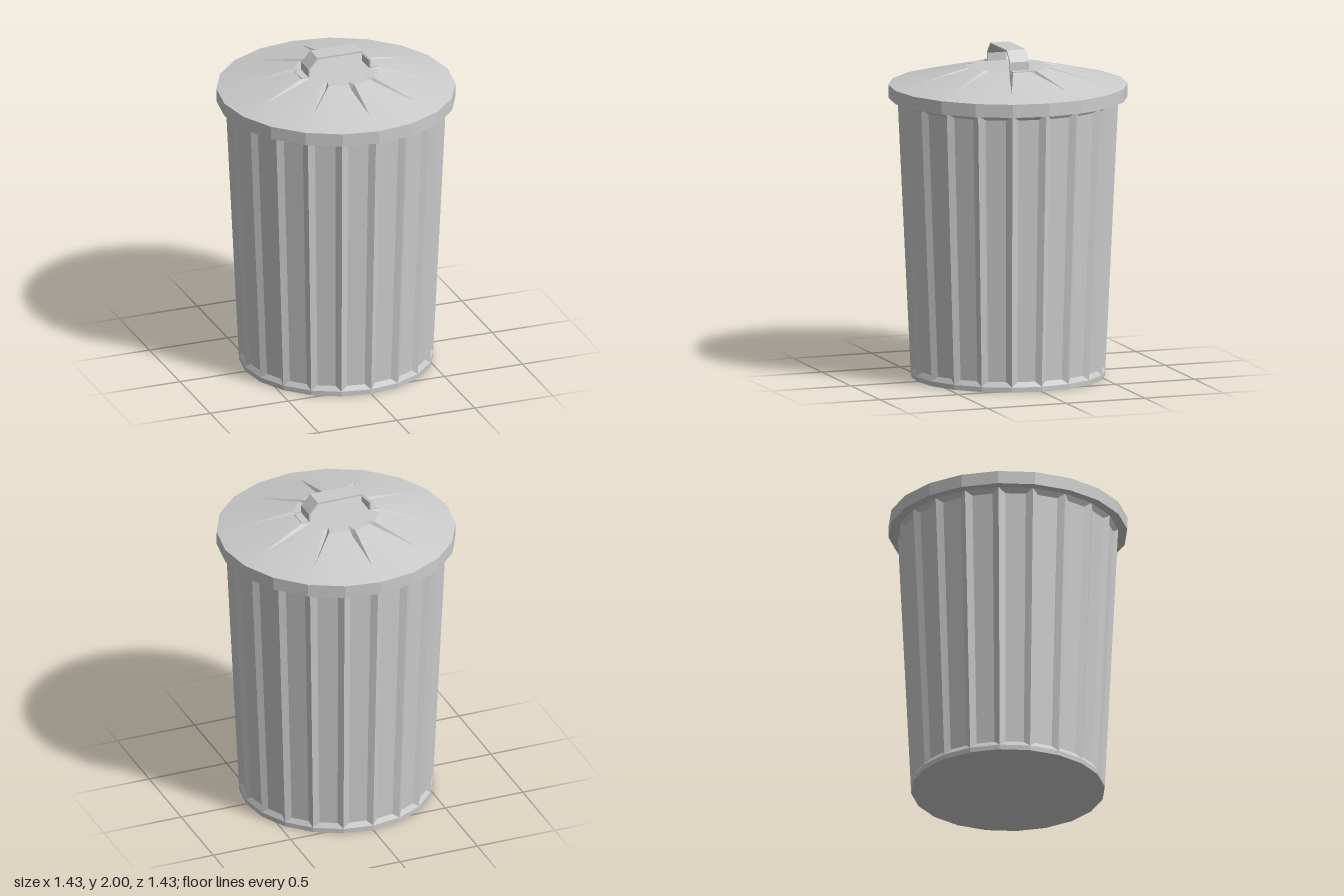
import * as THREE from 'three';
import { toCreasedNormals } from 'three/addons/utils/BufferGeometryUtils.js';

const SIDES = 20;
const STEP = (Math.PI * 2) / SIDES;
const material = new THREE.MeshStandardMaterial({ color: 0xcccccc, side: THREE.DoubleSide });

// Point on a circle of radius r at height y
const polar = (r, a, y) => new THREE.Vector3(r * Math.cos(a), y, r * Math.sin(a));

// Collects convex polygons as triangle fans
function surface() {
  const verts = [];
  return {
    add(...pts) {
      for (let i = 1; i < pts.length - 1; i++) {
        for (const p of [pts[0], pts[i], pts[i + 1]]) verts.push(p.x, p.y, p.z);
      }
    },
    mesh(name, crease) {
      let geo = new THREE.BufferGeometry();
      geo.setAttribute('position', new THREE.Float32BufferAttribute(verts, 3));
      geo = toCreasedNormals(geo, crease);
      const m = new THREE.Mesh(geo, material);
      m.name = name;
      return m;
    },
  };
}

// Tapered can: each side has a panel pressed inwards between sharp ridges
function makeBody() {
  const s = surface();
  const radius = (y) => 0.58 + 0.08 * (y / 1.69);
  const low = 0.03, high = 1.69, inLow = 0.06, inHigh = 1.66;
  const margin = 0.2, depth = 0.018;
  for (let i = 0; i < SIDES; i++) {
    const a0 = i * STEP, a1 = a0 + STEP, mid = a0 + STEP / 2;
    const ridge = (a, y) => polar(radius(y), a, y);
    const inset = (t, y) => ridge(a0, y).lerp(ridge(a1, y), t).sub(polar(depth, mid, 0));
    const outer = [ridge(a1, low), ridge(a0, low), ridge(a0, high), ridge(a1, high)];
    const inner = [inset(1 - margin, inLow), inset(margin, inLow), inset(margin, inHigh), inset(1 - margin, inHigh)];
    s.add(...inner);
    for (let k = 0; k < 4; k++) {
      const n = (k + 1) % 4;
      s.add(outer[k], outer[n], inner[n], inner[k]);
    }
    // bottom band and floor
    s.add(ridge(a1, 0), ridge(a0, 0), outer[1], outer[0]);
    s.add(new THREE.Vector3(), ridge(a0, 0), ridge(a1, 0));
  }
  return s.mesh('canBody', 0.2);
}

// Shallow conical lid with ten tapering grooves and a vertical rim
function makeLid() {
  const s = surface();
  const R = 0.715, topR = 0.25, rimLow = 1.69, rimHigh = 1.77, top = 1.88;
  const tipR = 0.56;
  const tipY = top - ((top - rimHigh) * (tipR - topR)) / (R - topR);
  const centre = new THREE.Vector3(0, top, 0);

  for (let i = 0; i < SIDES / 2; i++) {
    const a = (2 * i + 1) * STEP;
    const tip = polar(tipR, a, tipY);
    const notch = polar(0.2, a, top);
    const valley = polar(0.25, a, top - 0.03);
    const rimMid = polar(R, a, rimHigh);
    for (const side of [-1, 1]) {
      const put = (...p) => s.add(...(side < 0 ? p : p.reverse()));
      const edge = polar(topR, a + side * STEP, top);
      const wing = polar(topR, a + side * 0.08, top);
      const rimEnd = polar(R, a + side * STEP, rimHigh);
      put(rimEnd, edge, wing, tip, rimMid);   // cone
      put(edge, centre, notch, wing);         // flat top
      put(wing, valley, tip);                 // groove wall
      put(notch, valley, wing);               // groove end
    }
  }
  // rim and its underside
  for (let i = 0; i < SIDES; i++) {
    const a0 = i * STEP, a1 = a0 + STEP;
    s.add(polar(R, a1, rimLow), polar(R, a0, rimLow), polar(R, a0, rimHigh), polar(R, a1, rimHigh));
    s.add(polar(0.6, a0, rimLow), polar(R, a0, rimLow), polar(R, a1, rimLow), polar(0.6, a1, rimLow));
  }
  return s.mesh('lid', 0.2);
}

// Bent strap handle with small feet on the lid
function makeHandle() {
  const half = [[0.245, 1.88], [0.245, 1.885], [0.2, 1.885], [0.2, 1.935], [0.142, 2]];
  const under = [[0.137, 1.99], [0.19, 1.93], [0.19, 1.88]];
  const right = [...half, ...[]];
  const mirror = (pts) => pts.map(([x, y]) => [-x, y]).reverse();
  const outline = [...right, ...mirror(half), ...mirror(under), ...under];
  const shape = new THREE.Shape(outline.map(([x, y]) => new THREE.Vector2(x, y)));
  const geo = new THREE.ExtrudeGeometry(shape, { depth: 0.12, bevelEnabled: false });
  geo.translate(0, 0, -0.06);
  const m = new THREE.Mesh(geo, material);
  m.name = 'lidHandle';
  return m;
}

export function createModel() {
  const group = new THREE.Group();
  group.name = 'trashCan';
  group.add(makeBody(), makeLid(), makeHandle());
  return group;
}
